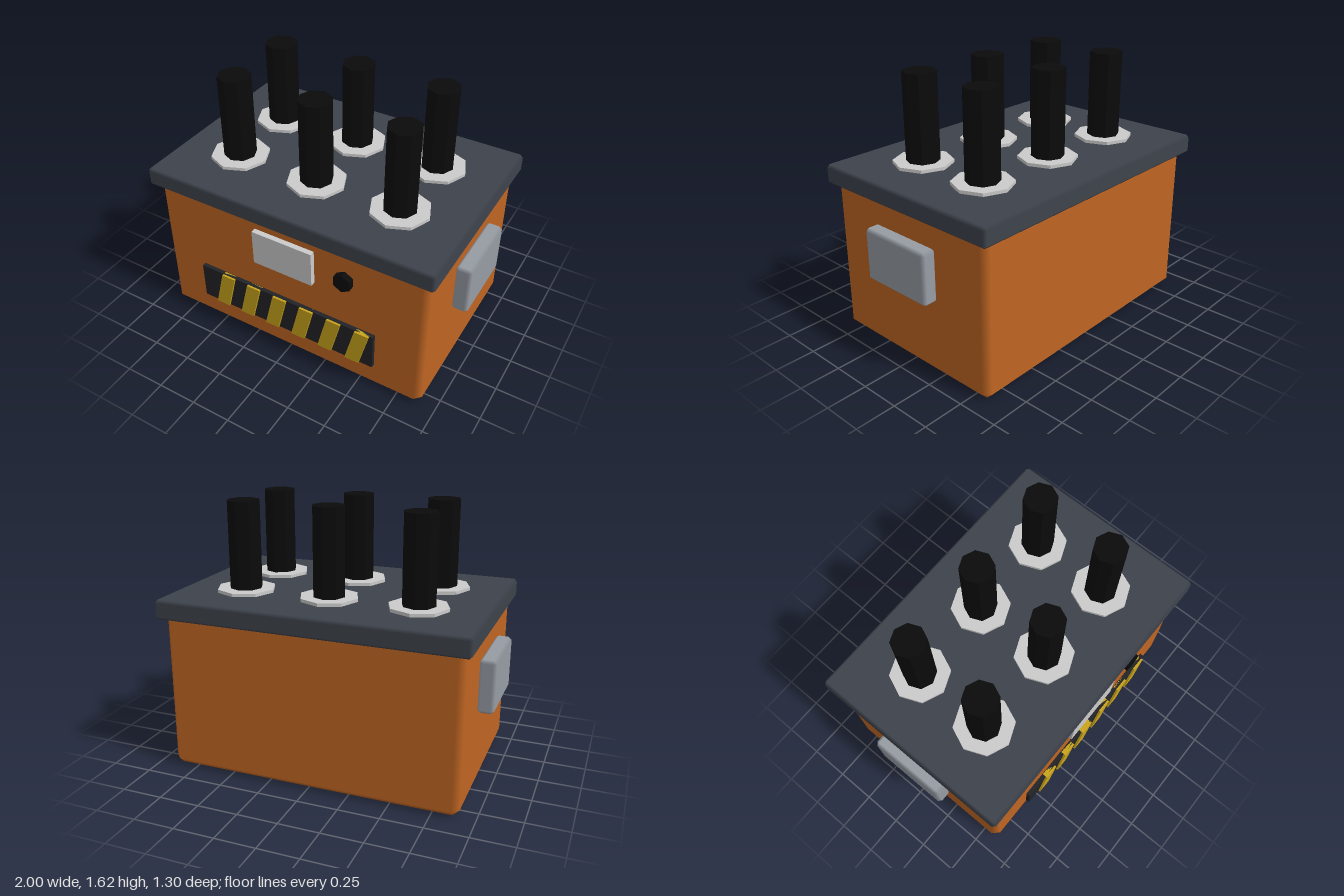
import * as THREE from 'three';
import { ConvexGeometry } from 'three/addons/geometries/ConvexGeometry.js';

const paint = (color, flatShading = false) => new THREE.MeshStandardMaterial({ color, flatShading });
const orange = paint(0xbf6522);
const slate = paint(0x3e434c);
const steel = paint(0x979ca4);
const pale = paint(0xcfcfd1, true);
const rubber = paint(0x0b0b0b, true);
const charcoal = paint(0x222327, true);
const yellow = paint(0xcaa51a, true);

const Z0 = -0.004; // depth centre of the housing

// Box with chamfered edges; each corner keeps its face normal so the bevels shade softly
function bevelBox(w, h, d, bevel) {
  const half = [w / 2, h / 2, d / 2];
  const points = [];
  for (let axis = 0; axis < 3; axis++)
    for (const sx of [-1, 1]) for (const sy of [-1, 1]) for (const sz of [-1, 1]) {
      const p = [sx, sy, sz].map((s, i) => s * (half[i] - (i === axis ? 0 : bevel)));
      points.push(new THREE.Vector3(...p));
    }
  const geometry = new ConvexGeometry(points);
  const { position, normal } = geometry.attributes;
  for (let i = 0; i < position.count; i++) {
    const p = [position.getX(i), position.getY(i), position.getZ(i)];
    const n = p.map((v, k) => (Math.abs(v) > half[k] - bevel / 2 ? Math.sign(v) : 0));
    normal.setXYZ(i, ...n);
  }
  return geometry;
}

export function createModel() {
  const model = new THREE.Group();
  model.name = 'powerUnit';

  const add = (name, geometry, material, x, y, z) => {
    const mesh = new THREE.Mesh(geometry, material);
    mesh.name = name;
    mesh.position.set(x, y, z);
    model.add(mesh);
    return mesh;
  };

  // Housing and lid
  add('housing', bevelBox(1.81, 1.0, 1.21, 0.04), orange, 0, 0.5, Z0);
  add('lid', bevelBox(1.89, 0.12, 1.292, 0.018), slate, 0, 1.01, Z0);

  // Side pads
  const pad = bevelBox(0.1, 0.325, 0.485, 0.02);
  for (const side of [-1, 1])
    add(side > 0 ? 'leftPad' : 'rightPad', pad, steel, side * 0.95, 0.648, Z0);

  // Six terminals, each a post on an octagonal collar
  const collar = new THREE.CylinderGeometry(0.18, 0.18, 0.05, 8);
  const post = new THREE.CylinderGeometry(0.1, 0.1, 0.56, 8);
  for (const x of [-0.545, 0, 0.545])
    for (const z of [Z0 - 0.243, Z0 + 0.243]) {
      add('terminalCollar', collar, pale, x, 1.065, z);
      add('terminalPost', post, rubber, x, 1.34, z);
    }

  // Front plate and hexagonal knob
  add('frontPlate', new THREE.BoxGeometry(0.4, 0.232, 0.055), pale, 0, 0.77, 0.607);
  const knob = new THREE.CylinderGeometry(0.06, 0.06, 0.06, 6).rotateX(Math.PI / 2);
  add('knob', knob, rubber, 0.4, 0.77, 0.612);

  // Warning panel with slanted stripes
  add('warningPanel', new THREE.BoxGeometry(1.212, 0.245, 0.026), charcoal, 0, 0.323, 0.624);
  const stripeShape = new THREE.Shape([[0, 0], [0.093, 0], [0.155, 0.245], [0.062, 0.245]]
    .map(([x, y]) => new THREE.Vector2(x, y)));
  const stripe = new THREE.ExtrudeGeometry(stripeShape, { depth: 0.036, bevelEnabled: false });
  for (let i = 0; i < 6; i++)
    add('warningStripe', stripe, yellow, -0.507 + i * 0.187, 0.2005, 0.614);

  return model;
}
